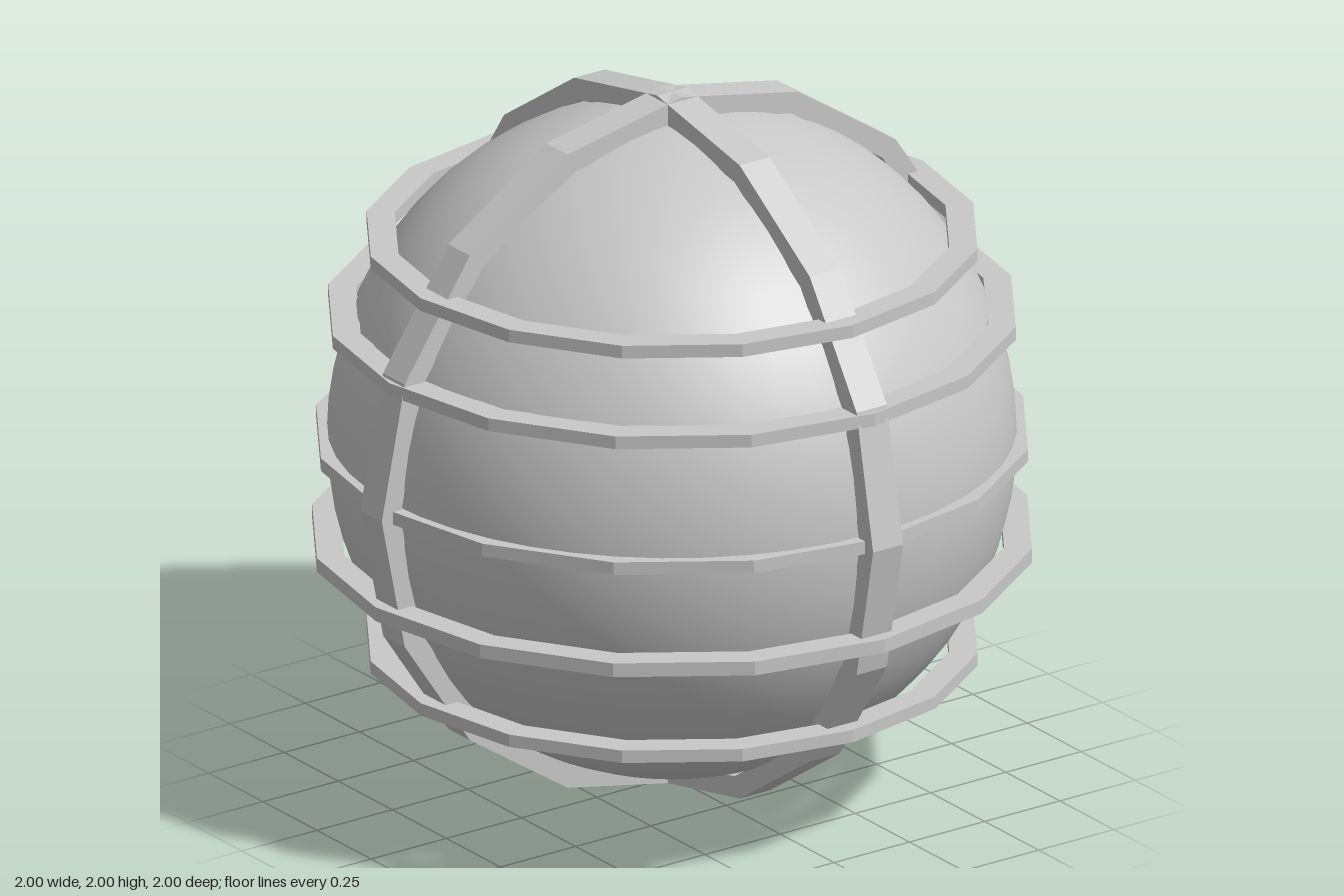
import * as THREE from 'three';

const SIDES = 16;

// Regular polygon outline with a corner on each axis
function polygonPoints(radius) {
  return Array.from({ length: SIDES }, (_, i) => {
    const a = (i / SIDES) * Math.PI * 2;
    return new THREE.Vector2(Math.cos(a) * radius, Math.sin(a) * radius);
  });
}

// Flat-sided hoop with a rectangular section, centred, axis along z
function hoopGeometry(outer, inner, width) {
  const shape = new THREE.Shape(polygonPoints(outer));
  shape.holes.push(new THREE.Path(polygonPoints(inner)));
  const geometry = new THREE.ExtrudeGeometry(shape, { depth: width, bevelEnabled: false });
  return geometry.translate(0, 0, -width / 2);
}

export function createModel() {
  const model = new THREE.Group();
  model.name = 'bandedSphere';
  const grey = new THREE.MeshStandardMaterial({ color: 0xc8c8c8 });
  grey.name = 'light grey';

  const add = (name, geometry, y) => {
    const mesh = new THREE.Mesh(geometry, grey);
    mesh.name = name;
    mesh.position.y = y;
    model.add(mesh);
    return mesh;
  };

  // Smooth core
  add('core', new THREE.SphereGeometry(0.932, 48, 32), 1);

  // Two upright hoops crossing at the poles
  add('uprightHoopAcross', hoopGeometry(1, 0.938, 0.1), 1);
  add('uprightHoopAlong', hoopGeometry(1, 0.938, 0.1).rotateY(Math.PI / 2), 1);

  // Level hoops: name, centre height, outer radius, inner radius, width
  const levels = [
    ['topHoop', 1.578, 0.835, 0.758, 0.037],
    ['upperHoop', 1.356, 0.94, 0.863, 0.037],
    ['middleHoop', 1.002, 0.973, 0.9, 0.037],
    ['lowerHoop', 0.71, 0.984, 0.908, 0.04],
    ['bottomHoop', 0.397, 0.835, 0.758, 0.036],
  ];
  for (const [name, y, outer, inner, width] of levels) {
    add(name, hoopGeometry(outer, inner, width).rotateX(Math.PI / 2), y);
  }

  return model;
}
